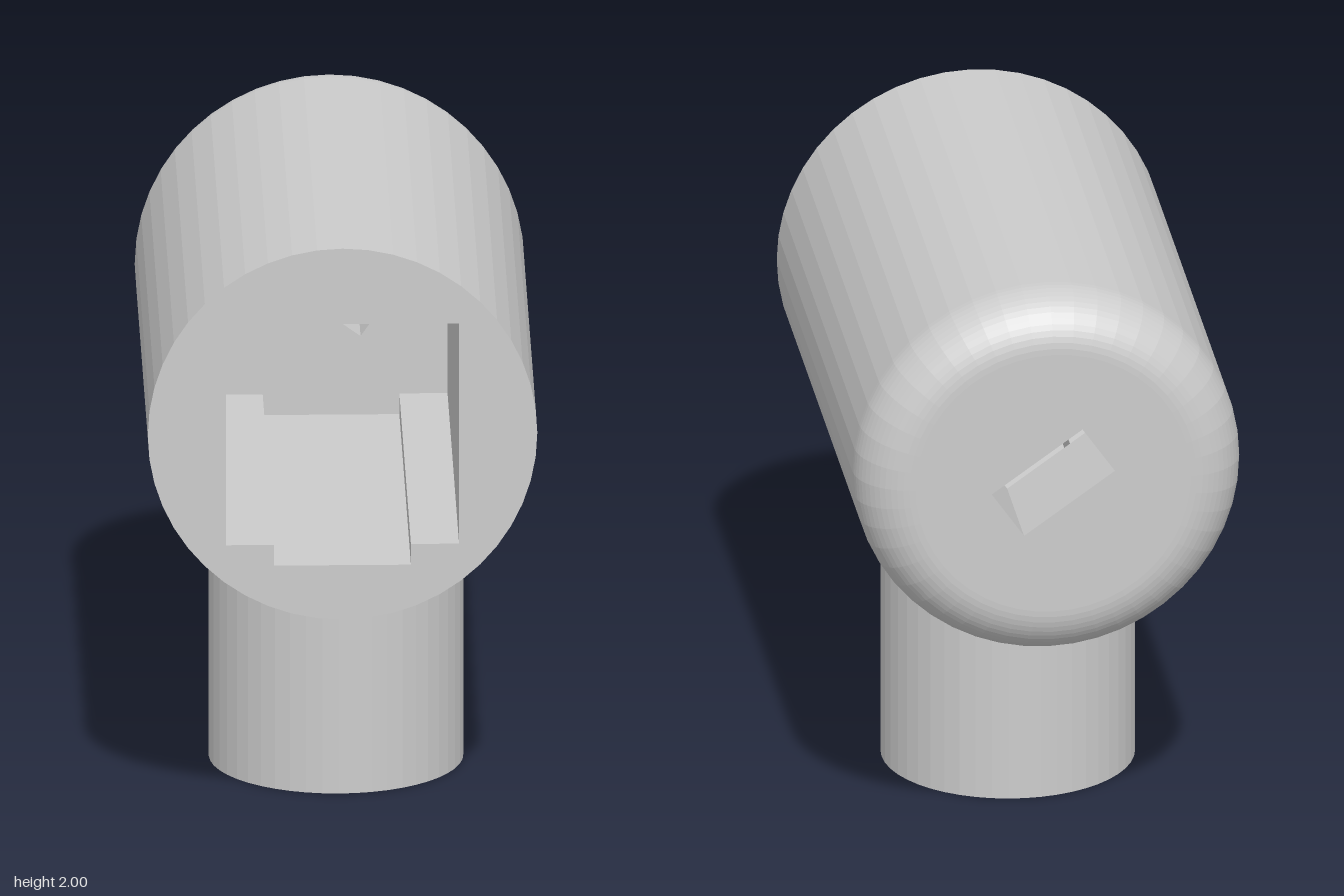
import * as THREE from 'three';

const R = 0.627, CY = 1.373, FRONT = 0.99, BACK = -0.99, FILLET = 0.18;
const POCKET_END = -0.59, STEM_R = 0.41, STEM_Z = 0.09, BORE_TOP = 0.5;
const SIDES = 48;

const grey = new THREE.MeshStandardMaterial({ color: 0xcccccc, flatShading: true });
const greyDouble = new THREE.MeshStandardMaterial({ color: 0xcccccc, flatShading: true, side: THREE.DoubleSide });

const toVectors = (pairs) => pairs.map(([x, y]) => new THREE.Vector2(x, y));

// Points around a circle, from angle a0 to a1
function arc(r, cx, cy, n, a0 = 0, a1 = Math.PI * 2) {
  return Array.from({ length: n + 1 }, (_, i) => {
    const a = a0 + (a1 - a0) * i / n;
    return new THREE.Vector2(cx + r * Math.cos(a), cy + r * Math.sin(a));
  });
}

// Flat plate in the xy plane, optionally pierced
function plate(outline, holes = []) {
  const shape = new THREE.Shape(outline);
  holes.forEach((h) => shape.holes.push(new THREE.Path(h)));
  return new THREE.ShapeGeometry(shape);
}

// Walls along a closed outline, between depths given by two functions of the point
function walls(outline, lowAt, highAt) {
  const pos = [], index = [];
  const closed = [...outline, outline[0]];
  closed.forEach((p, i) => {
    pos.push(p.x, p.y, lowAt(p), p.x, p.y, highAt(p));
    if (i) {
      const a = 2 * i - 2;
      index.push(a, a + 2, a + 1, a + 2, a + 3, a + 1);
    }
  });
  const g = new THREE.BufferGeometry();
  g.setAttribute('position', new THREE.Float32BufferAttribute(pos, 3));
  g.setIndex(index);
  g.computeVertexNormals();
  return g;
}

export function createModel() {
  const model = new THREE.Group();
  const add = (parent, name, geometry, material = grey) => {
    const mesh = new THREE.Mesh(geometry, material);
    mesh.name = name;
    parent.add(mesh);
    return mesh;
  };

  const pocket = toVectors([[-0.375, 1], [-0.22, 1], [-0.22, 0.93], [0.22, 0.93],
    [0.22, 1], [0.375, 1], [0.375, 1.745], [-0.375, 1.745]]);
  const slot = toVectors([[-0.2, 1.405], [0.095, 1.195], [0.2, 1.345], [-0.095, 1.555]]);

  // Housing: horizontal drum with a rounded back rim
  const housing = new THREE.Group();
  housing.name = 'housing';
  model.add(housing);
  const profile = [
    ...arc(FILLET, R - FILLET, BACK + FILLET, 14, -Math.PI / 2, 0),
    new THREE.Vector2(R, FRONT),
  ];
  const drum = new THREE.LatheGeometry(profile, SIDES).rotateX(Math.PI / 2).translate(0, CY, 0);
  add(housing, 'drumWall', drum);
  add(housing, 'frontFace', plate(arc(R, 0, CY, SIDES).slice(0, -1), [pocket]).translate(0, 0, FRONT));
  add(housing, 'backFace',
    plate(arc(R - FILLET, 0, CY, SIDES).slice(0, -1), [slot]).translate(0, 0, BACK), greyDouble);

  // Square pocket with a floor channel, and the tilted slot through the back
  add(housing, 'pocketWalls', walls(pocket, () => POCKET_END, () => FRONT), greyDouble);
  add(housing, 'pocketEnd', plate(pocket, [slot]).translate(0, 0, POCKET_END));
  add(housing, 'slotWalls', walls(slot, () => BACK, () => POCKET_END), greyDouble);

  // Stem: drawn in the xy plane, then stood up so depth becomes height
  const stem = new THREE.Group();
  stem.name = 'stem';
  stem.position.z = STEM_Z;
  model.add(stem);
  const stand = (g) => g.rotateX(-Math.PI / 2);
  const rim = arc(STEM_R, 0, 0, SIDES).slice(0, -1);
  const drumUnderside = (p) => CY - Math.sqrt(R * R - p.x * p.x);
  add(stem, 'stemWall', stand(walls(rim, () => 0, drumUnderside)), greyDouble);

  // D-shaped bore with its flat towards the front
  const flat = Math.asin(0.08 / 0.115);
  const bore = arc(0.115, 0, 0, 24, -flat, Math.PI + flat);
  add(stem, 'stemBase', stand(plate(rim, [bore])), greyDouble);
  add(stem, 'boreWalls', stand(walls(bore, () => 0, () => BORE_TOP)), greyDouble);
  add(stem, 'boreEnd', stand(plate(bore).translate(0, 0, BORE_TOP)), greyDouble);

  return model;
}
